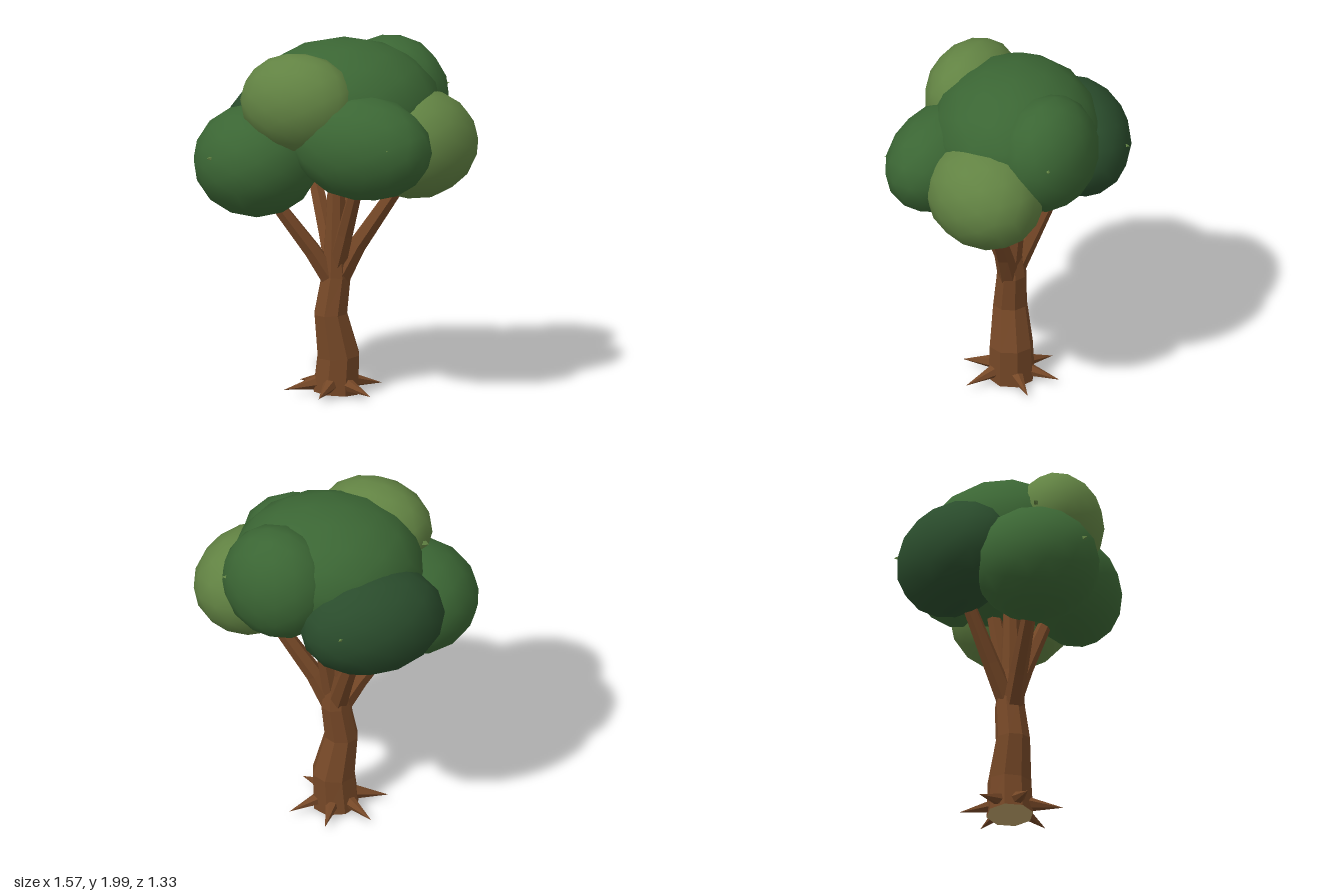
import * as THREE from 'three';

const V = (a) => new THREE.Vector3(...a);
const UP = new THREE.Vector3(0, 1, 0);

function material(name, color) {
  const m = new THREE.MeshStandardMaterial({ color });
  m.name = name;
  return m;
}

// Faceted limb: rings of n corners along a path of [x, y, z, radius], closed at both ends.
// Group 0 is the side, group 1 the two ends.
function limbGeometry(path, n) {
  const pts = path.map((p) => V(p.slice(0, 3)));
  const rings = pts.map((p, i) => {
    const dir = pts[Math.min(i + 1, pts.length - 1)].clone().sub(pts[Math.max(i - 1, 0)]).normalize();
    const q = new THREE.Quaternion().setFromUnitVectors(UP, dir);
    return Array.from({ length: n }, (_, k) => {
      const a = (k + 0.5) / n * Math.PI * 2;
      return new THREE.Vector3(Math.cos(a), 0, Math.sin(a)).multiplyScalar(path[i][3]).applyQuaternion(q).add(p);
    });
  });
  const out = [];
  const tri = (...corners) => corners.forEach((c) => out.push(c.x, c.y, c.z));
  for (let i = 0; i < rings.length - 1; i++) {
    for (let k = 0; k < n; k++) {
      const [a, b] = [rings[i][k], rings[i][(k + 1) % n]];
      const [c, d] = [rings[i + 1][k], rings[i + 1][(k + 1) % n]];
      tri(a, c, b);
      tri(b, c, d);
    }
  }
  const sideCount = out.length / 3;
  const last = rings.length - 1;
  for (let k = 0; k < n; k++) {
    tri(pts[0], rings[0][k], rings[0][(k + 1) % n]);
    tri(pts[last], rings[last][(k + 1) % n], rings[last][k]);
  }
  const g = new THREE.BufferGeometry();
  g.setAttribute('position', new THREE.Float32BufferAttribute(out, 3));
  g.addGroup(0, sideCount, 0);
  g.addGroup(sideCount, out.length / 3 - sideCount, 1);
  g.computeVertexNormals();
  return g;
}

// Small flat-sided cone from a base point to a tip.
function spike(name, base, tip, radius, sides, mat) {
  const dir = tip.clone().sub(base);
  const g = new THREE.ConeGeometry(radius, dir.length(), sides).toNonIndexed();
  g.computeVertexNormals();
  const mesh = new THREE.Mesh(g, mat);
  mesh.name = name;
  mesh.position.copy(base).add(tip).multiplyScalar(0.5);
  mesh.quaternion.setFromUnitVectors(UP, dir.normalize());
  return mesh;
}

export function createModel() {
  const tree = new THREE.Group();
  tree.name = 'tree';

  const bark = material('bark brown', 0x764827);
  const wood = material('cut wood', 0xc2a56c);
  const green = material('leaf green', 0x3b6634);
  const lightGreen = material('light leaf green', 0x628343);
  const darkGreen = material('dark leaf green', 0x2a4c2c);

  // Bent trunk
  const trunk = new THREE.Mesh(limbGeometry([
    [0.0, 0.014, -0.01, 0.132],
    [0.015, 0.22, -0.01, 0.124],
    [-0.028, 0.46, 0.002, 0.097],
    [0.003, 0.67, -0.01, 0.085],
    [0.0, 0.88, 0.0, 0.065],
    [0.005, 1.36, 0.0, 0.042],
  ], 8), [bark, wood]);
  trunk.name = 'trunk';
  tree.add(trunk);

  // Branches fanning out into the leaf clumps
  const branches = {
    rightBranch: [[-0.015, 0.64, 0, 0.06], [-0.13, 0.82, 0.015, 0.05], [-0.4, 1.19, 0.05, 0.036]],
    leftBranch: [[0.01, 0.64, 0, 0.064], [0.12, 0.85, 0.02, 0.052], [0.41, 1.29, 0.06, 0.036]],
    frontBranch: [[0.0, 0.7, 0, 0.055], [0.05, 0.93, 0.08, 0.048], [0.13, 1.3, 0.23, 0.036]],
    backBranch: [[0.0, 0.66, -0.01, 0.06], [-0.05, 0.9, -0.12, 0.05], [-0.14, 1.3, -0.3, 0.036]],
    backLeftBranch: [[0.02, 0.72, -0.01, 0.055], [0.06, 0.98, -0.04, 0.048], [0.13, 1.42, -0.1, 0.038]],
  };
  for (const [name, path] of Object.entries(branches)) {
    const mesh = new THREE.Mesh(limbGeometry(path, 6), [bark, bark]);
    mesh.name = name;
    tree.add(mesh);
  }

  // Pointed roots around the foot, by angle in degrees from +x towards +z
  for (const degrees of [50, 110, 172, 228, 282, 333]) {
    const a = THREE.MathUtils.degToRad(degrees);
    const at = (r, y) => new THREE.Vector3(Math.cos(a) * r, y, Math.sin(a) * r);
    tree.add(spike('root', at(0.075, 0.075), at(0.29, 0.034), 0.045, 6, bark));
  }

  // Leaf clumps: centre, radii, turn about the upright axis, colour
  const clumps = {
    crown: [[0.05, 1.62, -0.035], [0.54, 0.388, 0.47], 0, green],
    rightClump: [[-0.44, 1.345, 0.06], [0.352, 0.317, 0.357], 0, green],
    frontClump: [[0.14, 1.48, 0.35], [0.415, 0.296, 0.275], -0.5, green],
    leftClump: [[0.45, 1.44, 0.085], [0.365, 0.306, 0.31], 0.75, lightGreen],
    backClump: [[-0.2, 1.455, -0.35], [0.415, 0.31, 0.295], 0.35, darkGreen],
    topFrontClump: [[-0.21, 1.71, 0.23], [0.335, 0.276, 0.245], -0.4, lightGreen],
    topBackClump: [[0.32, 1.645, -0.25], [0.325, 0.335, 0.265], -0.5, green],
  };
  const ball = new THREE.IcosahedronGeometry(1, 2);
  for (const [name, [centre, radii, turn, mat]] of Object.entries(clumps)) {
    const mesh = new THREE.Mesh(ball, mat);
    mesh.name = name;
    mesh.position.set(...centre);
    mesh.scale.set(...radii);
    mesh.rotation.y = turn;
    tree.add(mesh);
  }

  // Tiny leaf points on the clumps: clump name, tip position
  const leaves = [
    ['rightClump', [-0.72, 1.41, 0.3]],
    ['frontClump', [0.275, 1.53, 0.665]],
    ['topBackClump', [0.635, 1.7, -0.29]],
    ['backClump', [-0.015, 1.52, -0.665]],
    ['topFrontClump', [-0.515, 1.7, 0.035]],
  ];
  for (const [clump, tipAt] of leaves) {
    const tip = V(tipAt);
    const inward = V(clumps[clump][0]).sub(tip).normalize();
    tree.add(spike('leafPoint', tip.clone().addScaledVector(inward, 0.05), tip, 0.022, 4, lightGreen));
  }

  return tree;
}
